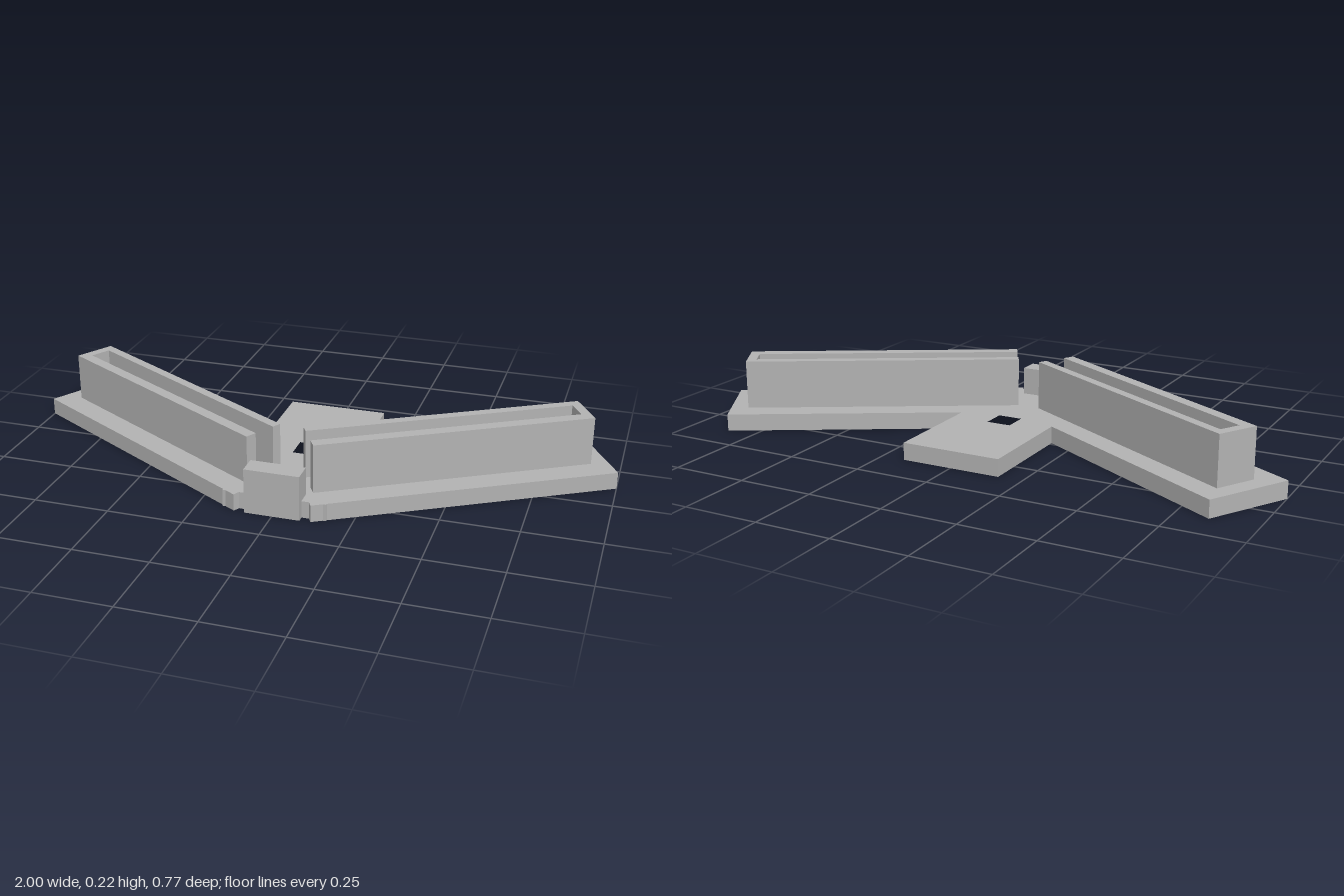
import * as THREE from 'three';

const PLATE_H = 0.057, WALL_TOP = 0.22;
const C = Math.cos(Math.PI / 6), S = Math.sin(Math.PI / 6);

// Arm coordinates: s runs outward along the arm, t runs across it toward the front
const arm = (s, t) => [C * s + S * t, -S * s + C * t];
const mirror = (points) => points.map(([x, z]) => [-x, z]).reverse();
const toVectors = (points) => points.map(([x, z]) => new THREE.Vector2(x, -z));

// Extrudes a plan outline of [x, z] points upward from y0 to y1
function slab(name, points, y0, y1, material, hole) {
  const shape = new THREE.Shape(toVectors(points));
  if (hole) shape.holes.push(new THREE.Path(toVectors(hole)));
  const geometry = new THREE.ExtrudeGeometry(shape, { depth: y1 - y0, bevelEnabled: false });
  geometry.rotateX(-Math.PI / 2).translate(0, y0, 0);
  const mesh = new THREE.Mesh(geometry, material);
  mesh.name = name;
  return mesh;
}

export function createModel() {
  const model = new THREE.Group();
  model.name = 'angledBracket';
  const grey = new THREE.MeshStandardMaterial({ color: 0xb2b2b2 });
  grey.name = 'grey';

  // Base plate: central tongue with two angled arms and a square hole
  const half = [
    [0.169, -0.357], [0.169, 0.012],
    arm(0.929, 0.095), arm(0.929, 0.392),
    [0.169, 0.355], [0.169, 0.361], [0.159, 0.361],
    arm(-0.082, 0.392), [0.114, 0.361],
  ];
  const h = 0.041;
  const hole = [[-h, -h], [h, -h], [h, h], [-h, h]];
  model.add(slab('basePlate', [...half, ...mirror(half)], 0, PLATE_H, grey, hole));

  // U-shaped channel walls, open toward the centre
  const channel = [
    [-0.055, 0.172], [0.87, 0.172], [0.87, 0.312], [-0.055, 0.312],
    [-0.055, 0.274], [0.838, 0.274], [0.838, 0.203], [-0.055, 0.203],
  ].map(([s, t]) => arm(s, t));
  model.add(slab('leftChannel', channel, PLATE_H, WALL_TOP, grey));
  model.add(slab('rightChannel', mirror(channel), PLATE_H, WALL_TOP, grey));

  // Stop block at the front
  const block = new THREE.Mesh(new THREE.BoxGeometry(0.18, 0.15, 0.068), grey);
  block.name = 'frontBlock';
  block.position.set(0, 0.075, 0.349);
  model.add(block);

  return model;
}
